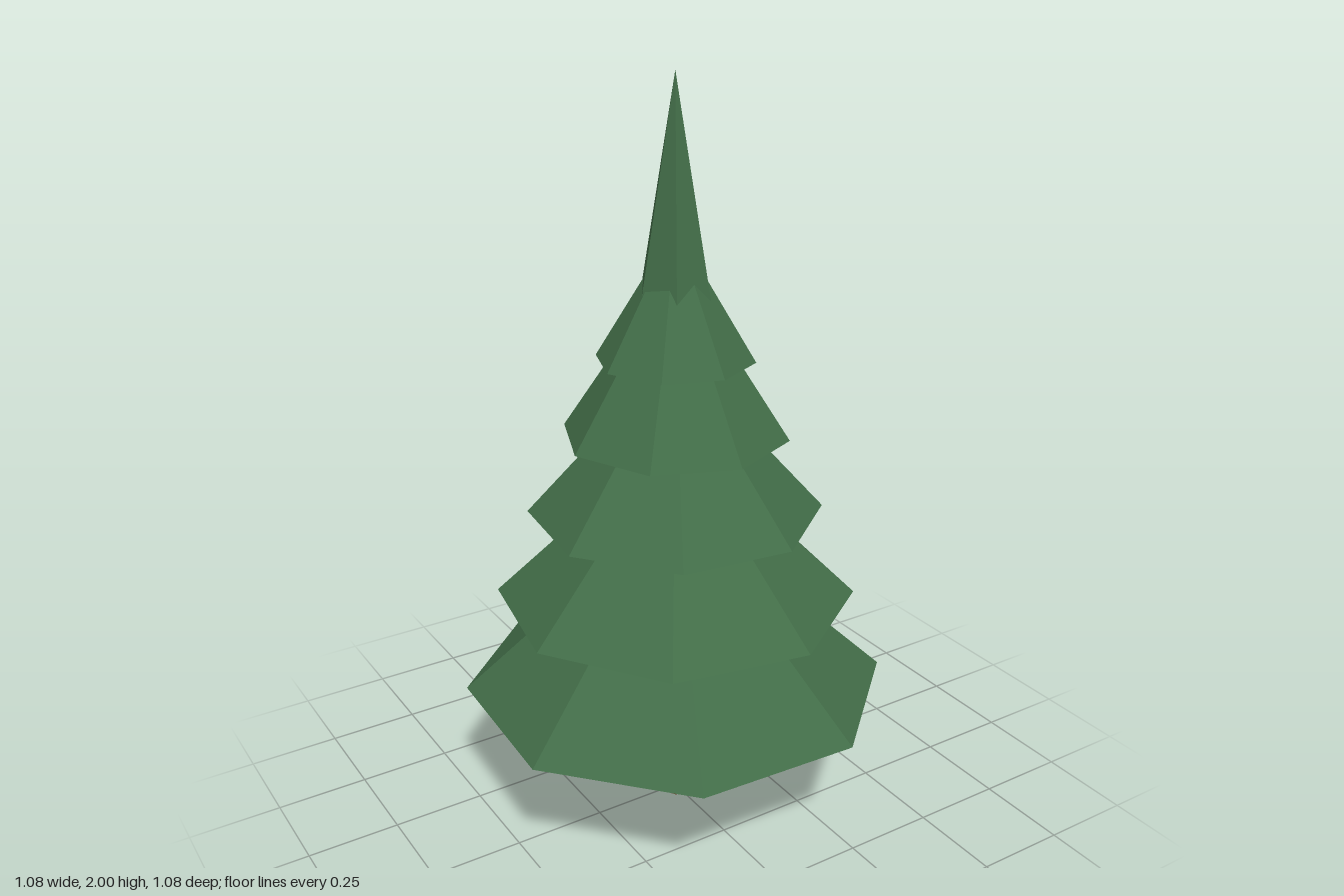
import * as THREE from 'three';

// Splits faces so that every facet is shaded flat
function faceted(geometry) {
  const flat = geometry.toNonIndexed();
  flat.computeVertexNormals();
  return flat;
}

export function createModel() {
  const tree = new THREE.Group();
  tree.name = 'pineTree';

  const needleGreen = new THREE.MeshStandardMaterial({ color: 0x426d48 });
  needleGreen.name = 'needle green';
  const barkBrown = new THREE.MeshStandardMaterial({ color: 0x704a2e });
  barkBrown.name = 'bark brown';

  // Closed cone from base to apex; turn is the angle of its first corner
  function addCone(name, radius, base, apex, sides, turn) {
    const geometry = new THREE.ConeGeometry(radius, apex - base, sides);
    geometry.rotateY(THREE.MathUtils.degToRad(turn));
    geometry.translate(0, (base + apex) / 2, 0);
    const cone = new THREE.Mesh(faceted(geometry), needleGreen);
    cone.name = name;
    tree.add(cone);
  }

  // Tapered six-sided trunk
  const trunkGeometry = new THREE.CylinderGeometry(0.041, 0.05, 0.37, 6);
  trunkGeometry.rotateY(Math.PI / 6);
  trunkGeometry.translate(0, 0.185, 0);
  const trunk = new THREE.Mesh(faceted(trunkGeometry), barkBrown);
  trunk.name = 'trunk';
  tree.add(trunk);

  // Overlapping branch tiers: radius, base, apex, turn
  const tiers = [
    [0.575, 0.365, 0.89, 19.6],
    [0.482, 0.63, 1.09, 12],
    [0.39, 0.875, 1.305, 15.6],
    [0.298, 1.09, 1.54, 1],
    [0.206, 1.29, 1.63, 3.5],
  ];
  tiers.forEach(([radius, base, apex, turn], i) =>
    addCone(`branchTier${i + 1}`, radius, base, apex, 8, turn));

  // Slim six-sided tip whose corners pierce the top tier
  addCone('treeTip', 0.1, 1.45, 2, 6, 30);

  return tree;
}
